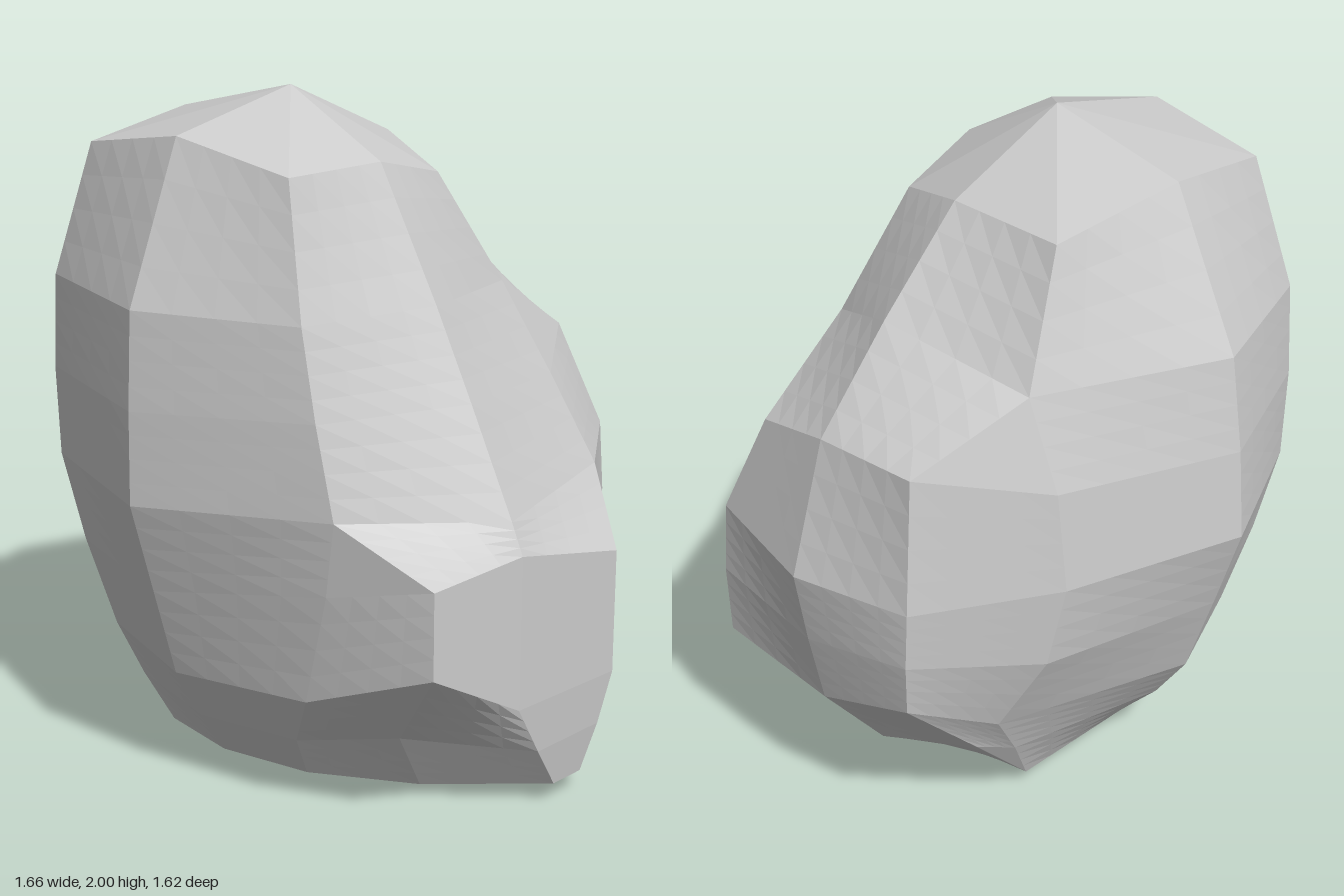
import * as THREE from 'three';

// A loop of twelve corners: front, front right x3, side, back right x2, back,
// back left, side, front left x2. A null corner merges with the one before it.
function ring(...corners) {
  let last;
  return corners.map((c) => (last = c ? new THREE.Vector3(...c) : last));
}
const pole = (x, y, z) => new Array(12).fill(new THREE.Vector3(x, y, z));

// Crown edge and the scooped shoulder below it
const crown = ring([-0.2, 1.82, 0.28], [0.1, 1.75, 0.22], null, null, [0.2, 1.83, -0.07],
  [0.21, 1.83, -0.46], null, [-0.2, 1.9, -0.52], [-0.6, 1.84, -0.47], [-0.63, 1.9, -0.07], [-0.56, 1.82, 0.29], null);
const upper = ring([-0.2, 1.45, 0.49], [0.31, 1.41, 0.29], null, null, [0.47, 1.56, -0.07],
  [0.38, 1.47, -0.53], null, [-0.2, 1.45, -0.745], [-0.66, 1.45, -0.58], [-0.81, 1.45, -0.07], [-0.625, 1.45, 0.4], null);
const shoulder = ring([-0.2, 1.2, 0.62], [0.35, 1.15, 0.45], null, [0.66, 1.21, 0.23], [0.71, 1.29, -0.07],
  [0.7, 1.3, -0.41], [0.36, 1.2, -0.62], [-0.2, 1.17, -0.79], [-0.66, 1.17, -0.6], [-0.825, 1.17, -0.07], [-0.635, 1.2, 0.46], null);
// Widest loop, then the ledge that juts out at the front
const waist = ring([-0.2, 0.9, 0.77], [0.38, 0.9, 0.6], null, [0.73, 0.9, 0.35], [0.83, 0.9, -0.07],
  [0.74, 0.9, -0.43], [0.35, 0.9, -0.65], [-0.2, 0.9, -0.815], [-0.65, 0.9, -0.6], [-0.83, 0.9, -0.07], [-0.63, 0.94, 0.52], null);
const ledge = ring([-0.2, 0.81, 0.81], [0.22, 0.72, 0.81], [0.44, 0.6, 0.56], [0.74, 0.68, 0.36], [0.79, 0.67, -0.07],
  [0.74, 0.72, -0.42], [0.38, 0.65, -0.61], [-0.2, 0.63, -0.73], [-0.61, 0.63, -0.55], [-0.755, 0.63, -0.07], [-0.62, 0.72, 0.48], [-0.51, 0.78, 0.77]);
// Lower loops, undercut on both sides of the front
const lower = ring([-0.2, 0.36, 0.81], [0.22, 0.35, 0.81], [0.5, 0.31, 0.52], [0.73, 0.46, 0.36], [0.74, 0.44, -0.07],
  [0.72, 0.55, -0.4], [0.45, 0.41, -0.49], [-0.2, 0.36, -0.64], [-0.55, 0.36, -0.49], [-0.68, 0.36, -0.07], [-0.6, 0.38, 0.38], [-0.51, 0.53, 0.77]);
const undercut = ring([-0.1, 0.2, 0.8], [0.17, 0.2, 0.8], [0.32, 0.17, 0.6], [0.49, 0.22, 0.28], [0.52, 0.17, -0.07],
  [0.47, 0.3, -0.42], [0.34, 0.24, -0.45], [-0.2, 0.2, -0.53], [-0.5, 0.2, -0.43], [-0.59, 0.2, -0.07], [-0.52, 0.2, 0.26], [-0.37, 0.24, 0.52]);
const base = ring([0, 0.06, 0.78], [0.12, 0.06, 0.78], [0.2, 0.05, 0.5], [0.23, 0.04, 0.25], [0.24, 0.02, -0.07],
  [0.23, 0.05, -0.39], null, [-0.2, 0.06, -0.4], [-0.46, 0.06, -0.34], [-0.5, 0.06, -0.07], [-0.44, 0.06, 0.22], [-0.24, 0.04, 0.48]);

// Fills the space between successive loops with finely split bilinear patches
function skin(rings, n = 4) {
  const pos = [];
  const tri = (a, b, c) => {
    const area = b.clone().sub(a).cross(c.clone().sub(a)).length();
    if (area > 1e-7) for (const p of [a, b, c]) pos.push(p.x, p.y, p.z);
  };
  for (let i = 0; i < rings.length - 1; i++) {
    for (let j = 0; j < 12; j++) {
      const k = (j + 1) % 12;
      const at = (u, v) => rings[i][j].clone().lerp(rings[i][k], u)
        .lerp(rings[i + 1][j].clone().lerp(rings[i + 1][k], u), v);
      for (let r = 0; r < n; r++) {
        for (let s = 0; s < n; s++) {
          const a = at(s / n, r / n), b = at((s + 1) / n, r / n);
          const c = at(s / n, (r + 1) / n), d = at((s + 1) / n, (r + 1) / n);
          tri(a, c, d);
          tri(a, d, b);
        }
      }
    }
  }
  const geo = new THREE.BufferGeometry();
  geo.setAttribute('position', new THREE.Float32BufferAttribute(pos, 3));
  geo.computeVertexNormals();
  return geo;
}

export function createModel() {
  const group = new THREE.Group();
  group.name = 'boulder';
  const rock = new THREE.Mesh(
    skin([pole(-0.2, 2, -0.07), crown, upper, shoulder, waist, ledge, lower, undercut, base, pole(-0.2, 0, -0.07)]),
    new THREE.MeshStandardMaterial({ color: 0xcccccc, flatShading: true }),
  );
  rock.name = 'rock';
  group.add(rock);
  return group;
}
